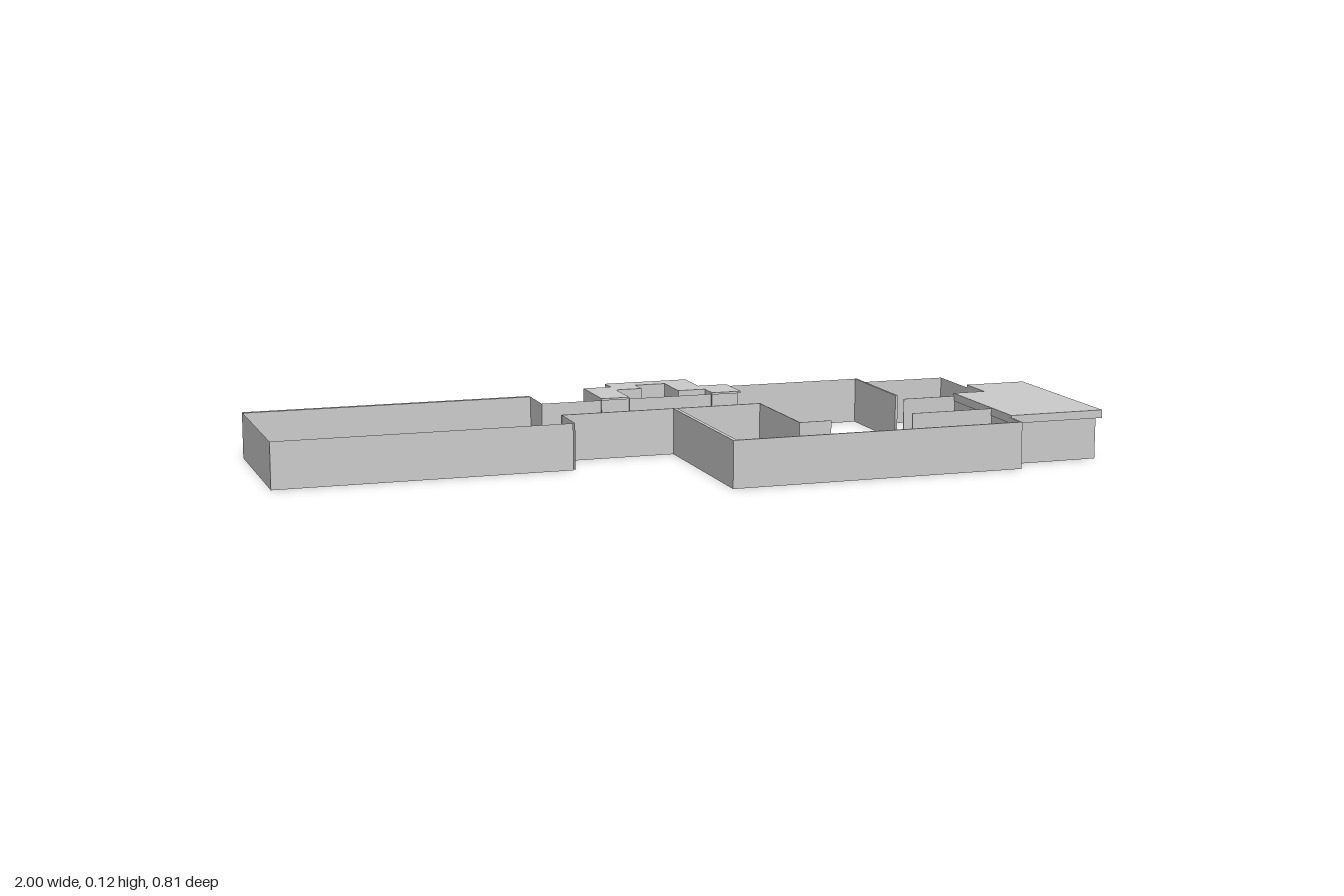
import * as THREE from 'three';

const H = 0.115;

export function createModel() {
  const model = new THREE.Group();
  const mat = new THREE.MeshStandardMaterial({ color: 0xcccccc, side: THREE.DoubleSide, flatShading: true });

  const add = (geo, name, parent = model) => {
    const mesh = new THREE.Mesh(geo, mat);
    mesh.name = name;
    parent.add(mesh);
    return mesh;
  };

  // Straight wall between two plan points; without a thickness it is a single sheet
  const wall = (parent, name, [x0, z0], [x1, z1], t = 0, h = H) => {
    const len = Math.hypot(x1 - x0, z1 - z0);
    const geo = t ? new THREE.BoxGeometry(len + t, h, t) : new THREE.PlaneGeometry(len, h);
    const mesh = add(geo, name, parent);
    mesh.position.set((x0 + x1) / 2, h / 2, (z0 + z1) / 2);
    mesh.rotation.y = -Math.atan2(z1 - z0, x1 - x0);
  };

  // Chain of walls through plan points
  const walls = (name, pts, t = 0, h = H) => {
    const group = new THREE.Group();
    group.name = name;
    for (let i = 0; i < pts.length - 1; i++) wall(group, name + 'Panel', pts[i], pts[i + 1], t, h);
    model.add(group);
  };

  // Flat slab from a plan outline
  const slab = (name, pts, y, h) => {
    const shape = new THREE.Shape(pts.map(([x, z]) => new THREE.Vector2(x, -z)));
    const geo = new THREE.ExtrudeGeometry(shape, { depth: h, bevelEnabled: false });
    add(geo.rotateX(-Math.PI / 2), name).position.y = y;
  };

  // Long wing
  walls('longWingBackWall', [[-0.994, -0.312], [-0.276, -0.312]], 0.012);
  walls('longWingWall', [[-0.27, 0.08], [-1, 0.08], [-1, -0.312]]);
  walls('longWingFrontReturn', [[-0.265, 0.08], [-0.265, -0.035]]);
  walls('longWingBackReturn', [[-0.27, -0.312], [-0.27, -0.2]]);

  // Central passage
  walls('passageFrontWall', [[-0.265, -0.035], [0.25, -0.035]], 0.004);
  walls('passageBackWall', [[-0.27, -0.2], [0.25, -0.2], [0.25, -0.3], [0.62, -0.3]]);

  // Porch block behind the passage
  const porchOuter = [[-0.115, -0.195], [-0.115, -0.355], [-0.042, -0.355], [-0.042, -0.405],
    [0.178, -0.405], [0.178, -0.3], [0.255, -0.3]];
  const porchInner = [[0.178, -0.19], [0.178, -0.247], [0.106, -0.247], [0.106, -0.36],
    [0.027, -0.36], [0.027, -0.308], [-0.042, -0.308], [-0.042, -0.195]];
  walls('porchOuterWall', porchOuter);
  walls('porchInnerWall', porchInner);
  slab('porchRoof', [...porchOuter, [0.255, -0.19], ...porchInner], H, 0.005);

  // Front courtyard
  walls('courtyardSideWall', [[0.026, -0.03], [0.026, 0.4]], 0.01);
  walls('courtyardFrontWall', [[0.026, 0.402], [0.757, 0.402]], 0.005);
  walls('courtyardReturn', [[0.757, 0.402], [0.757, 0.345]], 0.005);
  walls('courtyardInnerWall', [[0.25, -0.035], [0.25, 0.24], [0.33, 0.24]], 0.002);
  walls('courtyardPartition', [[0.545, 0.24], [0.755, 0.24]], 0.002, 0.12);

  // Back room
  walls('backRoomPartition', [[0.62, -0.3], [0.62, -0.035]], 0.006);
  walls('backRoomOuterWall', [[0.62, -0.245], [0.84, -0.245], [0.84, -0.08]]);
  walls('backRoomFrontWall', [[0.617, 0.022], [0.84, 0.022]], 0.002);

  // Roofed end block
  const endPlan = [[0.757, 0.022], [0.842, 0.022], [0.842, -0.078], [0.987, -0.078], [0.987, 0.345], [0.757, 0.345]];
  walls('endBlockWall', [...endPlan, endPlan[0]], 0, 0.102);
  slab('endBlockFloor', endPlan, 0, 0.002);
  slab('endBlockRoof', [[0.755, 0.02], [0.84, 0.02], [0.84, -0.084], [1, -0.084], [1, 0.353], [0.755, 0.353]], 0.102, 0.02);

  return model;
}
